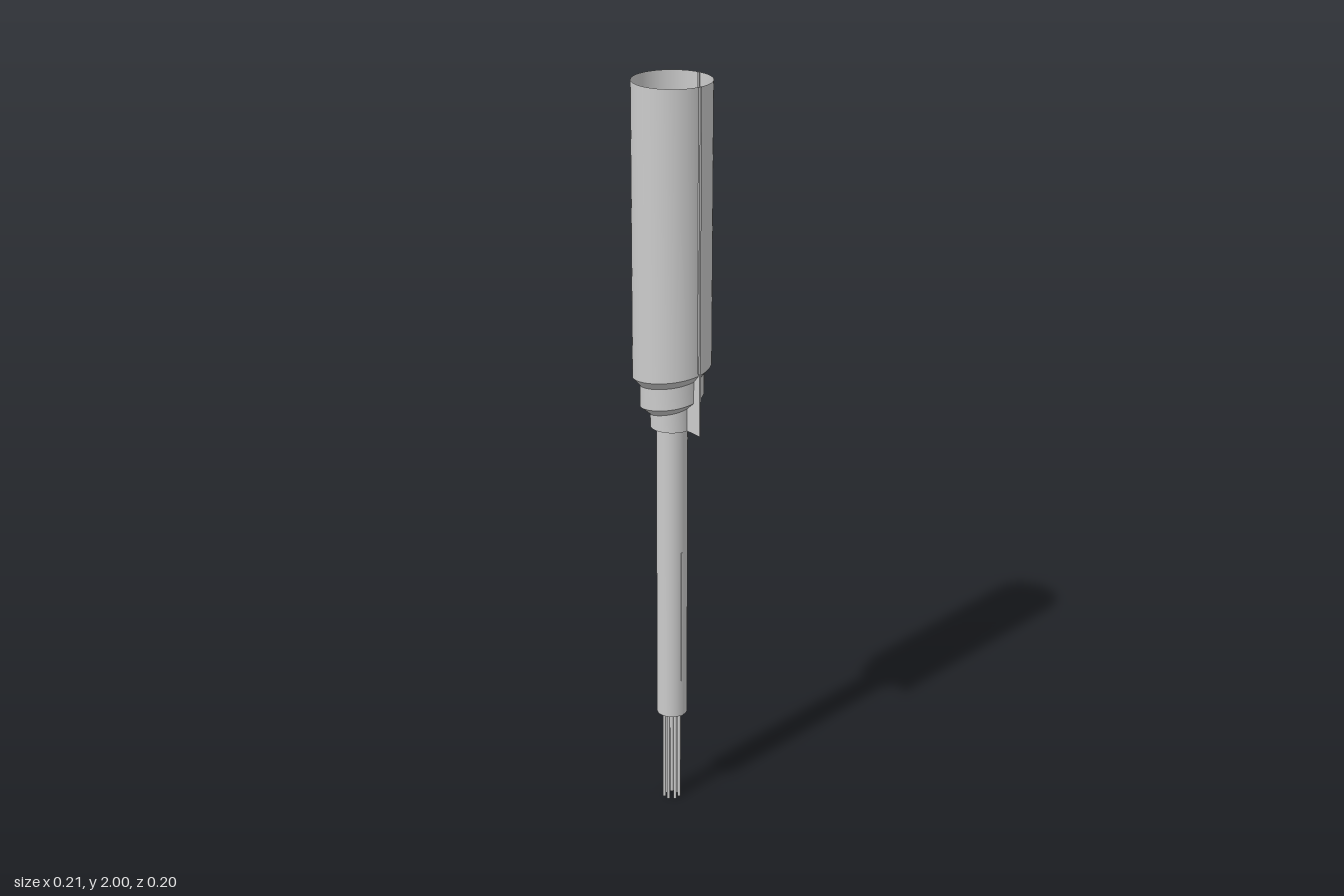
import * as THREE from 'three';

const grey = new THREE.MeshStandardMaterial({ color: 0xcccccc, side: THREE.DoubleSide });

const START = -1.79;              // angle of the seam, from +x towards +z
const PITCH = 0.08;               // drop of the corkscrew edge per turn
const TOP_EDGE = 1.285;           // height of the sheath edge at the seam
const SLEEVE_Y = 1.1;

// Sheath outline, top to bottom, after a fraction t of a turn
function profile(t) {
  const h = TOP_EDGE - PITCH * t;
  return [
    [0.101, 2], [0.101, h],
    [0.082, h - 0.022], [0.082, h - PITCH],
    [0.056, Math.max(SLEEVE_Y, h - PITCH - 0.022)], [0.056, SLEEVE_Y],
    [0.042, SLEEVE_Y],
  ];
}

// One band of the sheath; the last column closes the step at the seam
function bandGeometry(k, steps = 64) {
  const pos = [], index = [];
  for (let i = 0; i <= steps; i++) {
    const a = START + (i / steps) * Math.PI * 2;
    for (const [r, y] of profile(i / steps).slice(k, k + 2)) {
      pos.push(r * Math.cos(a), y, r * Math.sin(a));
    }
    if (i < steps) {
      const n = i * 2;
      index.push(n, n + 2, n + 1, n + 2, n + 3, n + 1);
    }
  }
  const g = new THREE.BufferGeometry();
  g.setAttribute('position', new THREE.Float32BufferAttribute(pos, 3));
  g.setIndex(index);
  g.computeVertexNormals();
  return g;
}

// Radial wall joining the two ends of the corkscrew
function seamGeometry() {
  const p = profile(0), q = profile(1), pos = [], index = [];
  const c = Math.cos(START), s = Math.sin(START);
  p.forEach(([r, y], i) => {
    pos.push(r * c, y, r * s, q[i][0] * c, q[i][1], q[i][0] * s);
    if (i > 0) {
      const n = i * 2;
      index.push(n - 2, n - 1, n, n - 1, n + 1, n);
    }
  });
  const g = new THREE.BufferGeometry();
  g.setAttribute('position', new THREE.Float32BufferAttribute(pos, 3));
  g.setIndex(index);
  g.computeVertexNormals();
  return g;
}

function add(parent, name, geometry, x = 0, y = 0, z = 0) {
  const mesh = new THREE.Mesh(geometry, grey);
  mesh.name = name;
  mesh.position.set(x, y, z);
  parent.add(mesh);
  return mesh;
}

function tube(r, y0, y1, sides, open) {
  return new THREE.CylinderGeometry(r, r, y1 - y0, sides, 1, open).translate(0, (y0 + y1) / 2, 0);
}

export function createModel() {
  const model = new THREE.Group();
  model.name = 'cable';

  // Outer sheath with its corkscrew steps
  const sheath = new THREE.Group();
  sheath.name = 'steppedSheath';
  sheath.position.set(-0.003, 0, 0.001);
  for (let k = 0; k < 6; k++) add(sheath, 'sheathBand', bandGeometry(k));
  add(sheath, 'sheathSeam', seamGeometry());
  model.add(sheath);

  // Narrow ridges along the sheath
  add(model, 'sideRidge', new THREE.BoxGeometry(0.006, 0.73, 0.006), 0.1, 1.635, -0.003);
  const backRidge = add(model, 'backRidge', new THREE.BoxGeometry(0.006, 0.715, 0.006), -0.022, 1.6425, -0.097);
  backRidge.rotation.y = -START;

  // Flat tab beside the steps
  add(model, 'tab', new THREE.BoxGeometry(0.052, 0.17, 0.004), 0.076, 1.185, -0.006);

  // Thin inner sleeve, open at both ends
  add(model, 'innerSleeve', tube(0.0405, 0.265, SLEEVE_Y, 40, true), -0.008, 0, -0.003);
  add(model, 'sleeveRidge', new THREE.BoxGeometry(0.003, 0.485, 0.004), 0.0325, 0.5075, -0.003);

  // Ring of seven wires
  const wires = new THREE.Group();
  wires.name = 'wires';
  for (let i = 0; i < 7; i++) {
    const a = (i / 7) * Math.PI * 2 - Math.PI / 2;
    add(wires, 'wire', tube(0.0045, 0, SLEEVE_Y, 12, false), -0.008 + 0.0205 * Math.cos(a), 0, -0.002 + 0.0205 * Math.sin(a));
  }
  model.add(wires);

  return model;
}
